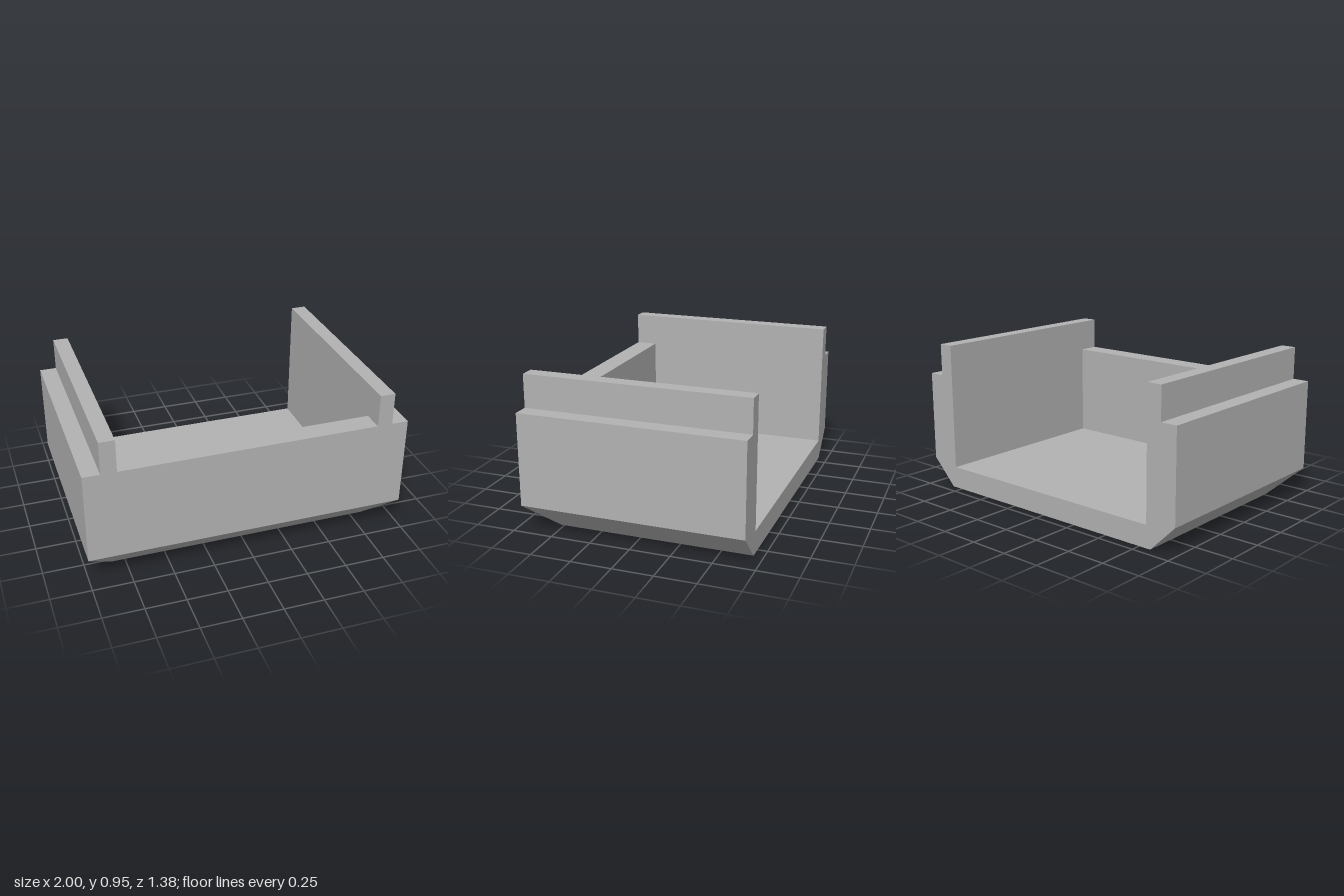
import * as THREE from 'three';

// Main dimensions
const DEPTH = 0.69;     // half depth
const CHAMFER = 0.17;   // height of the bevelled underside
const BASE_X = 0.83;    // half width of the flat bottom
const BASE_Z = 0.52;    // front edge of the flat bottom
const RIM = 0.745;      // top of the walls
const INNER_X = 0.8;    // inner face of the side walls
const INNER_Z = 0.555;  // inner face of the front wall
const FLOOR = 0.14;     // top of the floor
const RAIL_X = 0.895;   // outer face of the rails
const TOP = 0.95;       // top of the rails

// Builds a flat-faced geometry from convex faces, corners anticlockwise
function facesGeometry(faces) {
  const positions = [];
  for (const face of faces) {
    for (let i = 1; i < face.length - 1; i++) {
      positions.push(...face[0], ...face[i], ...face[i + 1]);
    }
  }
  const geometry = new THREE.BufferGeometry();
  geometry.setAttribute('position', new THREE.Float32BufferAttribute(positions, 3));
  geometry.computeVertexNormals();
  return geometry;
}

// Face symmetric in x, running from one edge (half width, y, z) to another
const span = ([x0, y0, z0], [x1, y1, z1]) =>
  [[-x0, y0, z0], [x0, y0, z0], [x1, y1, z1], [-x1, y1, z1]];

const mirrorX = (face) => face.map(([x, y, z]) => [-x, y, z]).reverse();

export function createModel() {
  const group = new THREE.Group();
  group.name = 'openTray';
  const grey = new THREE.MeshStandardMaterial({ color: 0xb2b2b2 });
  grey.name = 'plain grey';

  // Bottom, front wall and floor
  const middle = [
    span([BASE_X, 0, -DEPTH], [BASE_X, 0, BASE_Z]),
    span([BASE_X, 0, BASE_Z], [1, CHAMFER, DEPTH]),
    span([1, CHAMFER, DEPTH], [1, RIM, DEPTH]),
    span([INNER_X, RIM, DEPTH], [INNER_X, RIM, INNER_Z]),
    span([INNER_X, RIM, INNER_Z], [INNER_X, FLOOR, INNER_Z]),
    span([INNER_X, FLOOR, INNER_Z], [INNER_X, FLOOR, -DEPTH]),
    span([INNER_X, FLOOR, -DEPTH], [BASE_X, 0, -DEPTH]),
  ];

  // Left wall: bevel, outside, ledge, inside and rear end
  const side = [
    [[BASE_X, 0, BASE_Z], [BASE_X, 0, -DEPTH], [1, CHAMFER, -DEPTH], [1, CHAMFER, DEPTH]],
    [[1, CHAMFER, DEPTH], [1, CHAMFER, -DEPTH], [1, RIM, -DEPTH], [1, RIM, DEPTH]],
    [[RAIL_X, RIM, DEPTH], [1, RIM, DEPTH], [1, RIM, -DEPTH], [RAIL_X, RIM, -DEPTH]],
    [[INNER_X, FLOOR, -DEPTH], [INNER_X, FLOOR, INNER_Z], [INNER_X, RIM, INNER_Z], [INNER_X, RIM, -DEPTH]],
    [[1, CHAMFER, -DEPTH], [BASE_X, 0, -DEPTH], [INNER_X, FLOOR, -DEPTH]],
    [[1, CHAMFER, -DEPTH], [INNER_X, FLOOR, -DEPTH], [INNER_X, RIM, -DEPTH], [1, RIM, -DEPTH]],
  ];

  const hull = new THREE.Mesh(
    facesGeometry([...middle, ...side, ...side.map(mirrorX)]), grey);
  hull.name = 'hull';
  group.add(hull);

  // Rails standing on the inner edge of each side wall
  for (const s of [1, -1]) {
    const rail = new THREE.Mesh(
      new THREE.BoxGeometry(RAIL_X - INNER_X, TOP - RIM, 2 * DEPTH), grey);
    rail.position.set(s * (RAIL_X + INNER_X) / 2, (TOP + RIM) / 2, 0);
    rail.name = s > 0 ? 'leftRail' : 'rightRail';
    group.add(rail);
  }

  return group;
}
